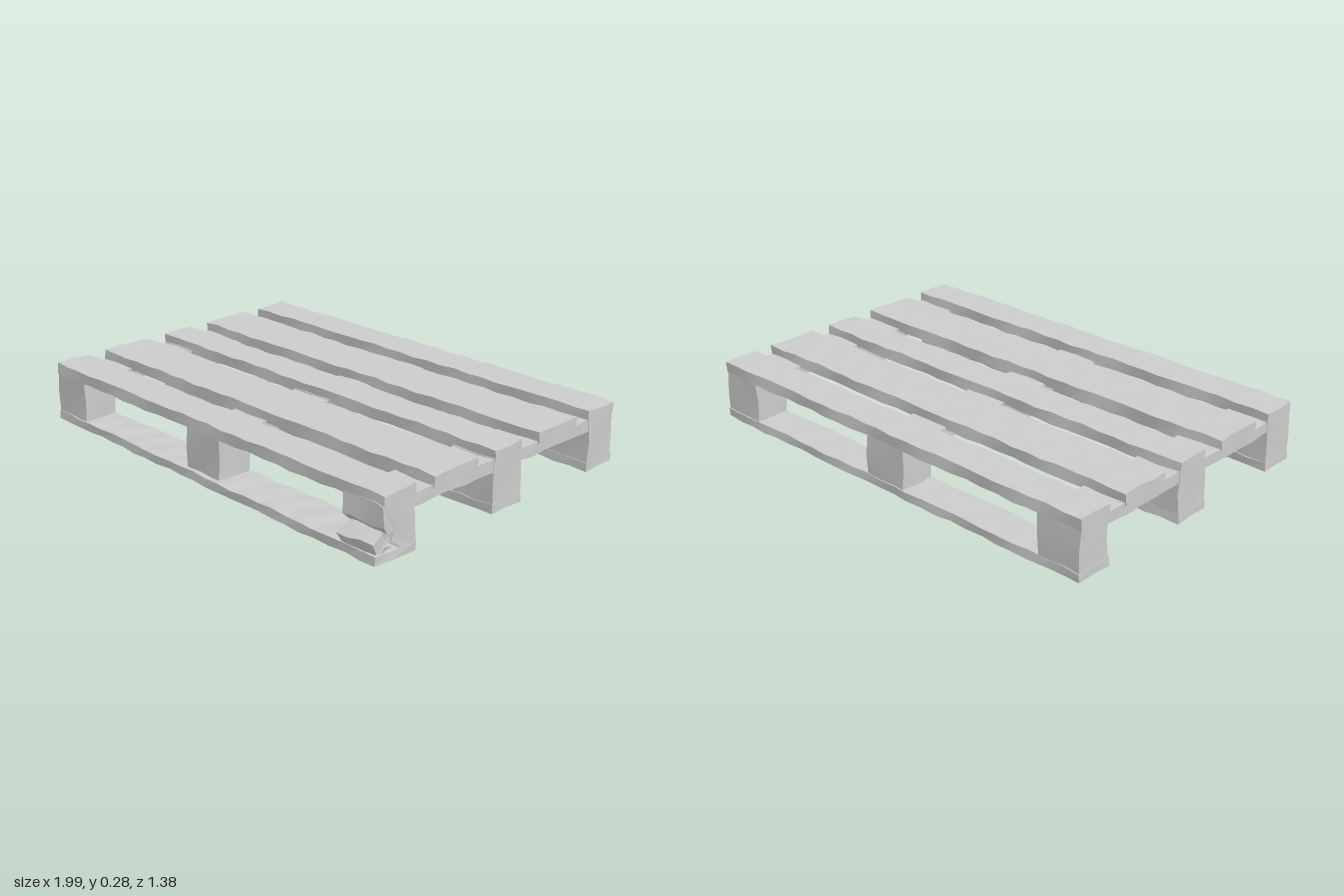
import * as THREE from 'three';
import { toCreasedNormals } from 'three/addons/utils/BufferGeometryUtils.js';

const material = new THREE.MeshStandardMaterial({ color: 0xcccccc });

// Uneven timber: a gentle slope and skew along x plus small, position-based wear
function weather(geometry, wear = 0.004) {
  const p = geometry.attributes.position;
  for (let i = 0; i < p.count; i++) {
    const x = p.getX(i), y = p.getY(i), z = p.getZ(i);
    const a = Math.sin(x * 23 + z * 31 + y * 17);
    const b = Math.sin(x * 37 - z * 19 + y * 41 + 1.3);
    const c = Math.sin(x * 13 + z * 47 - y * 29 + 2.1);
    p.setXYZ(i, x + wear * a, y + 0.009 * x + wear * 0.7 * b, z - 0.006 * x + wear * c);
  }
  return toCreasedNormals(geometry, 0.6);
}

function addMesh(group, name, geometry) {
  const mesh = new THREE.Mesh(geometry, material);
  mesh.name = name;
  group.add(mesh);
  return mesh;
}

// Worn timber from min/max ranges on each axis
function timber(group, name, [x0, x1], [y0, y1], [z0, z1]) {
  const seg = (d) => Math.max(1, Math.round(d / 0.08));
  const g = new THREE.BoxGeometry(x1 - x0, y1 - y0, z1 - z0, seg(x1 - x0), seg(y1 - y0), seg(z1 - z0));
  g.translate((x0 + x1) / 2, (y0 + y1) / 2, (z0 + z1) / 2);
  return addMesh(group, name, weather(g));
}

export function createModel() {
  const pallet = new THREE.Group();
  pallet.name = 'pallet';
  const length = [-0.99, 0.99];
  const columns = [[-0.985, -0.795], [-0.095, 0.1], [0.795, 0.985]];
  const rows = [[-0.685, -0.525], [-0.11, 0.06], [0.48, 0.64]];

  // Top deck: alternating narrow and wide slats
  const slats = [[-0.685, -0.525], [-0.435, -0.2], [-0.11, 0.05], [0.147, 0.385], [0.478, 0.64]];
  slats.forEach((z, i) => timber(pallet, 'topSlat' + (i + 1), length, [0.222, 0.271], z));

  // Cross boards beneath the slats
  columns.forEach((x, i) => timber(pallet, 'crossBoard' + (i + 1), x, [0.183, 0.232], [-0.66, 0.62]));

  // Bottom runners; the front one is knocked outward at its left end
  rows.forEach((z, i) => {
    const runner = timber(pallet, 'bottomRunner' + (i + 1), length, [0.013, 0.05], z);
    if (i === 2) {
      const p = runner.geometry.attributes.position;
      for (let k = 0; k < p.count; k++) {
        if (p.getZ(k) > 0.55) p.setZ(k, p.getZ(k) + 0.02 * (p.getX(k) + 1));
      }
      runner.geometry.computeVertexNormals();
    }
  });

  // Spacer blocks, all intact but the front left corner
  rows.forEach((z, r) => columns.forEach((x, c) => {
    if (r === 2 && c === 2) return;
    timber(pallet, 'spacerBlock', [x[0] - 0.003, x[1] + 0.003], [0.035, 0.235], [z[0] + 0.003, z[1] - 0.003]);
  }));

  // Split corner block with its lower front broken away
  const profile = new THREE.Shape([
    [0.485, 0.04], [0.56, 0.04], [0.552, 0.065], [0.585, 0.085], [0.575, 0.115],
    [0.62, 0.125], [0.643, 0.15], [0.643, 0.235], [0.485, 0.235],
  ].map(([z, y]) => new THREE.Vector2(z, y)));
  const broken = new THREE.ExtrudeGeometry(profile, { depth: 0.195, steps: 4, bevelEnabled: false });
  broken.rotateY(-Math.PI / 2).translate(0.988, 0, 0);
  addMesh(pallet, 'brokenBlock', weather(broken, 0.007));

  // Loose splinters hanging from the break
  const splinters = [
    { size: [0.17, 0.06, 0.10], at: [0.89, 0.088, 0.633], turn: [0.45, 0.08, 0.06] },
    { size: [0.10, 0.03, 0.07], at: [0.93, 0.058, 0.62], turn: [-0.3, 0.25, -0.1] },
    { size: [0.07, 0.035, 0.08], at: [0.945, 0.118, 0.60], turn: [0.6, -0.3, 0.15] },
  ];
  splinters.forEach(({ size, at, turn }, i) => {
    const g = new THREE.BoxGeometry(...size, 3, 2, 2);
    g.applyMatrix4(new THREE.Matrix4().makeRotationFromEuler(new THREE.Euler(...turn)));
    g.translate(...at);
    addMesh(pallet, 'splinter' + (i + 1), weather(g, 0.007));
  });

  return pallet;
}
